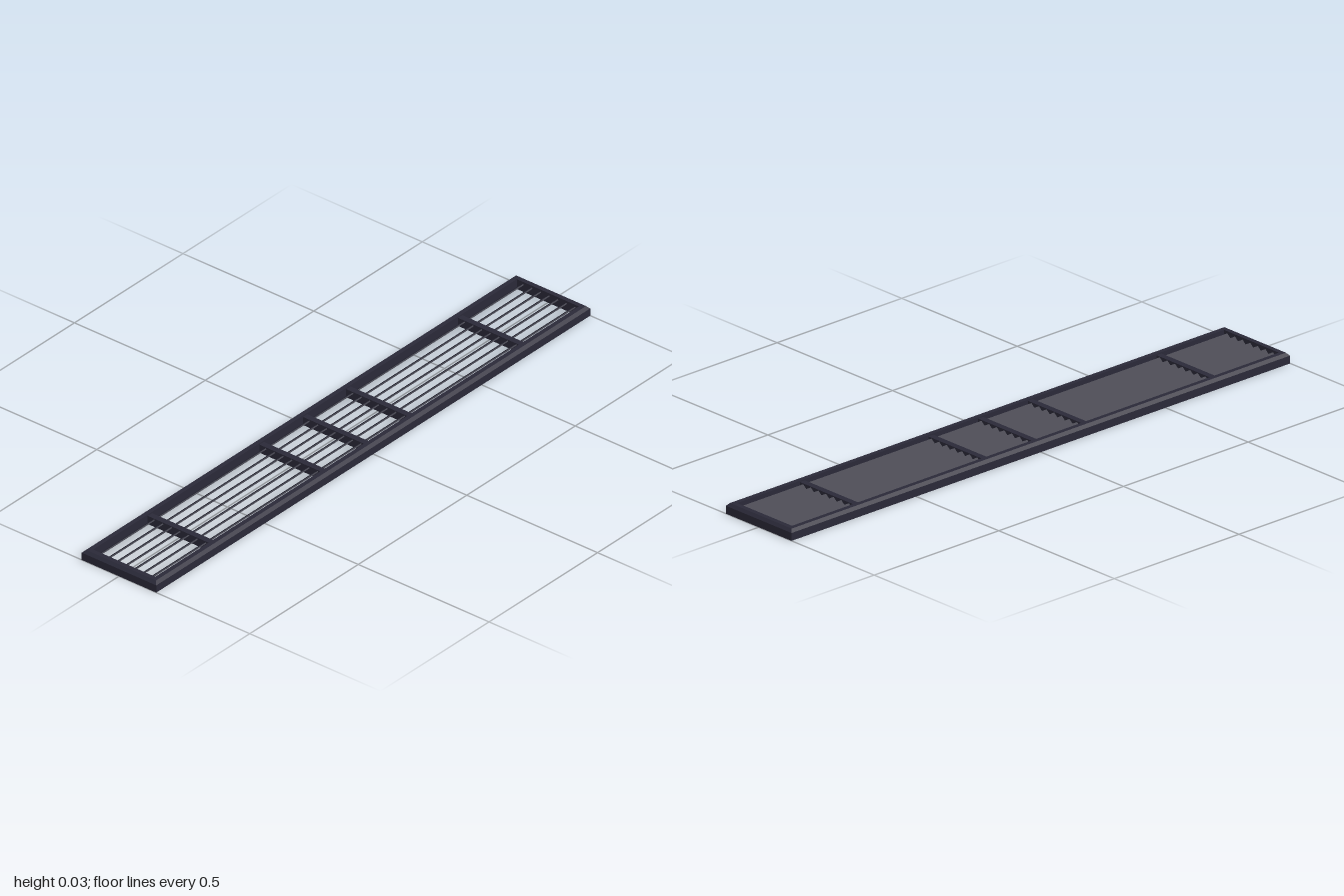
import * as THREE from 'three';

const HALF_X = 1, HALF_Z = 0.1425, HEIGHT = 0.034;
const CHAMFER = 0.009, BORDER = 0.024;

// Closed rectangular frame: sweep a bevelled section around four mitred corners
function frameGeometry() {
  const section = [ // [inset from outer edge, height]
    [0, 0], [0, HEIGHT - CHAMFER], [CHAMFER, HEIGHT], [BORDER, HEIGHT], [BORDER, 0],
  ];
  const corners = [[1, 1], [1, -1], [-1, -1], [-1, 1]];
  const point = (c, s) => [c[0] * (HALF_X - s[0]), s[1], c[1] * (HALF_Z - s[0])];
  const positions = [];
  corners.forEach((a, i) => {
    const b = corners[(i + 1) % 4];
    section.forEach((s, j) => {
      const t = section[(j + 1) % section.length];
      const [p, q, r, u] = [point(a, s), point(b, s), point(b, t), point(a, t)];
      positions.push(...p, ...q, ...r, ...p, ...r, ...u);
    });
  });
  const geometry = new THREE.BufferGeometry();
  geometry.setAttribute('position', new THREE.Float32BufferAttribute(positions, 3));
  geometry.computeVertexNormals();
  return geometry;
}

export function createModel() {
  const model = new THREE.Group();
  model.name = 'ventGrille';
  const metal = new THREE.MeshStandardMaterial({ color: 0x2a2938 });
  metal.name = 'dark metal';

  const add = (name, geometry, x, y, z) => {
    const mesh = new THREE.Mesh(geometry, metal);
    mesh.name = name;
    mesh.position.set(x, y, z);
    model.add(mesh);
    return mesh;
  };

  add('frame', frameGeometry(), 0, 0, 0);

  // Slanted slats, front edge high and back edge low
  const slat = new THREE.BoxGeometry(2 * (HALF_X - BORDER) + 0.01, 0.004, 0.031);
  for (let i = 0; i < 8; i++) {
    add('slat', slat, 0, 0.016, -0.1045 + i * 0.033).rotation.x = -Math.PI / 4.5;
  }

  // Cross bars that hold the slats
  const bar = new THREE.BoxGeometry(0.02, 0.028, 2 * (HALF_Z - BORDER) + 0.01);
  for (const x of [-0.715, -0.2, 0, 0.2, 0.715]) add('crossBar', bar, x, 0.016, 0);

  return model;
}
